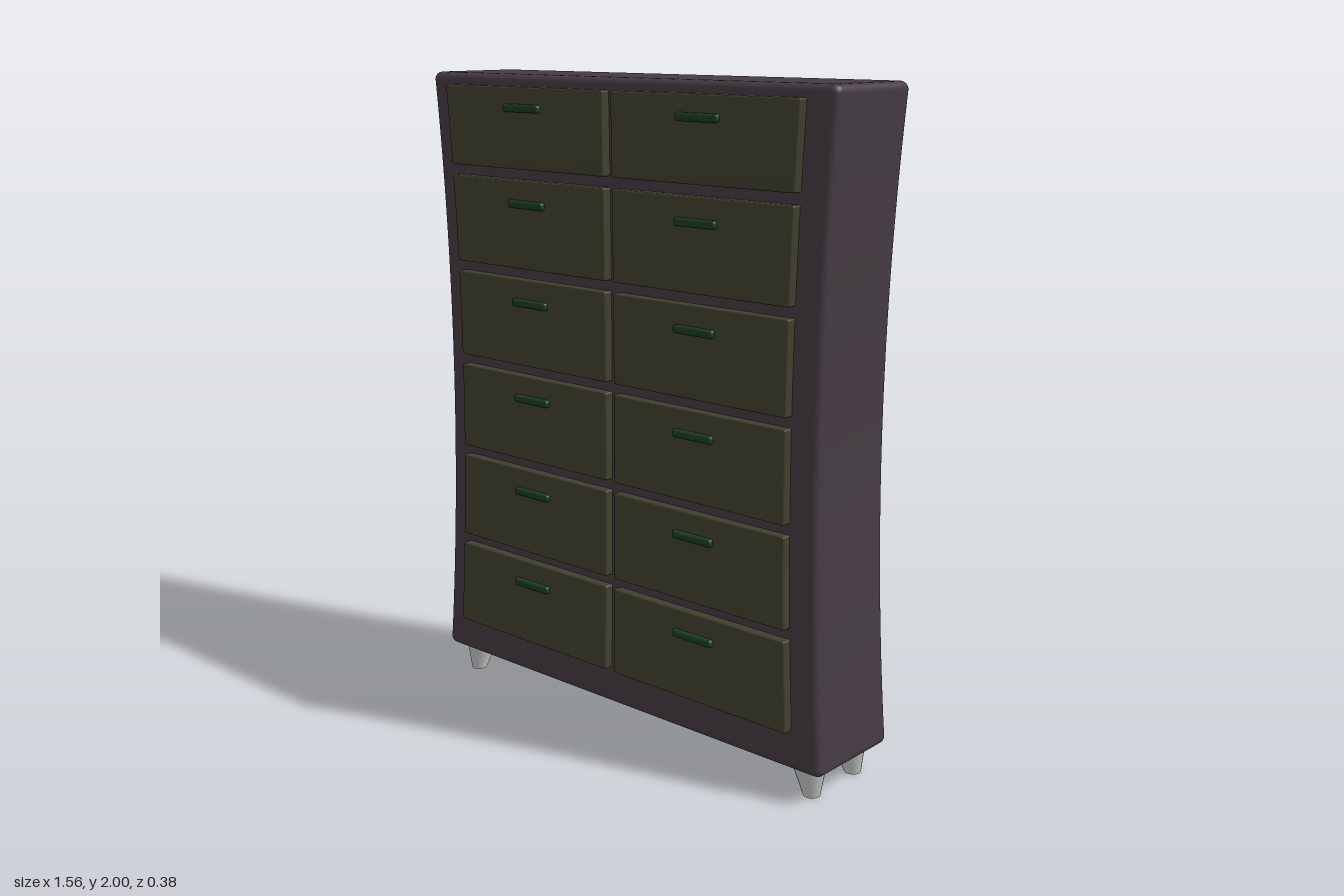
import * as THREE from 'three';
import { mergeVertices } from 'three/addons/utils/BufferGeometryUtils.js';

const Z_AXIS = -0.022;

const mat = (color) => new THREE.MeshStandardMaterial({ color });

// Narrows everything towards mid height, giving the waisted silhouette
function waist(geo) {
  const p = geo.attributes.position;
  for (let i = 0; i < p.count; i++) {
    const t = (p.getY(i) - 1.045) / 0.955;
    const k = 0.947 + 0.053 * t * t;
    p.setX(i, p.getX(i) * k);
    p.setZ(i, Z_AXIS + (p.getZ(i) - Z_AXIS) * k);
  }
  geo.computeVertexNormals();
  return geo;
}

// Box between two corners with rounded edges; rows subdivides the straight height
function roundedBox(min, max, r, rows) {
  const s = 3;
  const size = max.map((v, a) => v - min[a]);
  const mid = [2, rows, 2];
  const n = mid.map((m) => m + 2 * s);
  let geo = new THREE.BoxGeometry(1, 1, 1, ...n);
  const p = geo.attributes.position;
  const v = new THREE.Vector3(), inner = new THREE.Vector3();
  for (let i = 0; i < p.count; i++) {
    v.fromBufferAttribute(p, i);
    for (let a = 0; a < 3; a++) {
      const half = size[a] / 2, core = half - r;
      const j = Math.round((v.getComponent(a) + 0.5) * n[a]);
      // Grid lines are packed into the rounded margins
      let c;
      if (j < s) c = -half + (r * j) / s;
      else if (j > n[a] - s) c = half - (r * (n[a] - j)) / s;
      else c = -core + (2 * core * (j - s)) / mid[a];
      v.setComponent(a, c);
      inner.setComponent(a, THREE.MathUtils.clamp(c, -core, core));
    }
    v.sub(inner).setLength(r).add(inner);
    p.setXYZ(i, v.x, v.y, v.z);
  }
  geo.deleteAttribute('normal');
  geo.deleteAttribute('uv');
  geo = mergeVertices(geo, 1e-5);
  return geo.translate(...min.map((m, a) => (m + max[a]) / 2));
}

export function createModel() {
  const group = new THREE.Group();
  const bodyMat = mat(0x453c43);
  const drawerMat = mat(0x40402e);
  const handleMat = mat(0x1c3d24);
  const legMat = mat(0xcccccc);

  const add = (name, geo, material) => {
    const mesh = new THREE.Mesh(geo, material);
    mesh.name = name;
    group.add(mesh);
  };

  // Cabinet body
  add('cabinet', waist(roundedBox([-0.78, 0.09, -0.192], [0.78, 2, 0.148], 0.025, 24)), bodyMat);

  // Six rows of two drawers, each with a bar handle
  for (let row = 0; row < 6; row++) {
    const bottom = 0.21 + 0.302 * row;
    const top = Math.min(bottom + 0.27, 1.964);
    const handleY = row === 5 ? 1.902 : bottom + 0.198;
    for (const side of [-1, 1]) {
      const label = `${side > 0 ? 'Left' : 'Right'}${row + 1}`;
      const xs = [0.016 * side, 0.686 * side].sort((a, b) => a - b);
      add('drawer' + label,
        waist(roundedBox([xs[0], bottom, 0.1], [xs[1], top, 0.178], 0.006, 4)), drawerMat);
      const hx = 0.345 * side;
      add('handle' + label,
        waist(roundedBox([hx - 0.077, handleY - 0.012, 0.165], [hx + 0.077, handleY + 0.012, 0.193], 0.009, 1)),
        handleMat);
    }
  }

  // Four tapered legs, splayed slightly outwards
  for (const sx of [-1, 1]) {
    for (const sz of [-1, 1]) {
      const geo = new THREE.CylinderGeometry(0.052, 0.025, 0.1, 24);
      const p = geo.attributes.position;
      for (let i = 0; i < p.count; i++) {
        const drop = 0.5 - p.getY(i) / 0.1;
        p.setX(i, p.getX(i) + sx * 0.015 * drop);
        p.setZ(i, p.getZ(i) + sz * 0.005 * drop);
      }
      geo.translate(sx * 0.69, 0.05, Z_AXIS + sz * 0.096);
      add(`leg${sz > 0 ? 'Front' : 'Back'}${sx > 0 ? 'Left' : 'Right'}`, geo, legMat);
    }
  }

  return group;
}
